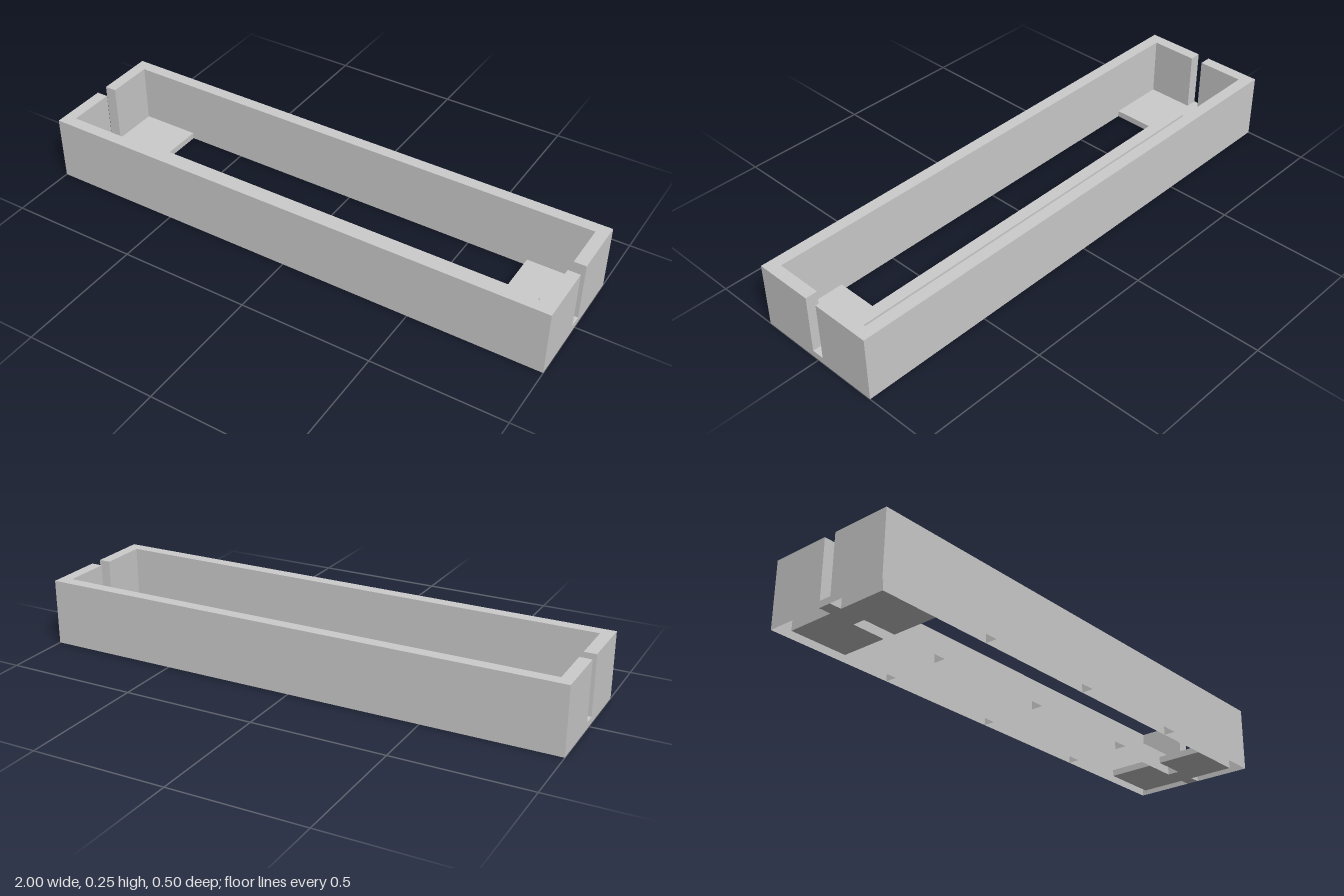
import * as THREE from 'three';

const L = 1, W = 0.25, H = 0.25;      // half length, half width, height
const T = 0.045, GAP = 0.024;         // wall thickness, half width of the end slots
const PLATE_IN = 0.73, PLATE_H = 0.025;
const BAR_END = 0.86, BAR_H = 0.05;

const solid = new THREE.MeshStandardMaterial({ color: 0xcccccc });
const thin = new THREE.MeshStandardMaterial({ color: 0xcccccc, side: THREE.DoubleSide });

// Extrudes an outline of [x, z] points up from the ground
function prism(points, height) {
  const shape = new THREE.Shape(points.map(([x, z]) => new THREE.Vector2(x, -z)));
  return new THREE.ExtrudeGeometry(shape, { depth: height, bevelEnabled: false }).rotateX(-Math.PI / 2);
}

// Removes the downward faces, leaving a hollow shell open at the bottom
function openBottom(geometry) {
  const source = geometry.index ? geometry.toNonIndexed() : geometry;
  const pos = source.attributes.position, normal = source.attributes.normal;
  const p = [], n = [];
  for (let i = 0; i < pos.count; i++) {
    if (normal.getY(i) < -0.5) continue;
    p.push(pos.getX(i), pos.getY(i), pos.getZ(i));
    n.push(normal.getX(i), normal.getY(i), normal.getZ(i));
  }
  const out = new THREE.BufferGeometry();
  out.setAttribute('position', new THREE.Float32BufferAttribute(p, 3));
  out.setAttribute('normal', new THREE.Float32BufferAttribute(n, 3));
  return out;
}

function add(parent, name, geometry, material) {
  const mesh = new THREE.Mesh(geometry, material);
  mesh.name = name;
  parent.add(mesh);
  return mesh;
}

// Thin partitions inside a hollow part, at the quarter points of the length
function addDividers(parent, width, height, z) {
  for (const x of [-0.5, 0, 0.5]) {
    const divider = add(parent, 'divider', new THREE.PlaneGeometry(width, height), thin);
    divider.rotation.y = Math.PI / 2;
    divider.position.set(x, height / 2, z);
  }
}

export function createModel() {
  const model = new THREE.Group();
  model.name = 'slottedTray';

  // Two C-shaped hollow walls, front and back
  const wallOutline = [
    [-L, W], [L, W], [L, GAP], [L - T, GAP], [L - T, W - T],
    [-L + T, W - T], [-L + T, GAP], [-L, GAP],
  ];
  for (const side of ['front', 'back']) {
    const wall = new THREE.Group();
    wall.name = side + 'Wall';
    add(wall, 'wallShell', openBottom(prism(wallOutline, H)), thin);
    addDividers(wall, T, H, W - T / 2);
    if (side === 'back') wall.rotation.y = Math.PI;
    model.add(wall);
  }

  // Floor plates: a tongue fills the end slot, a notch takes the centre bar
  const plateOutline = [
    [PLATE_IN, W - T], [L - T, W - T], [L - T, GAP], [L, GAP],
    [L, -GAP], [L - T, -GAP], [L - T, -W + T], [PLATE_IN, -W + T],
    [PLATE_IN, -GAP], [BAR_END, -GAP], [BAR_END, GAP], [PLATE_IN, GAP],
  ];
  for (const side of ['left', 'right']) {
    const plate = add(model, side + 'FloorPlate', prism(plateOutline, PLATE_H), solid);
    if (side === 'right') plate.rotation.y = Math.PI;
  }

  // Hollow centre bar joining the plates
  const bar = new THREE.Group();
  bar.name = 'centreBar';
  const barBox = new THREE.BoxGeometry(2 * BAR_END, BAR_H, 2 * GAP).translate(0, BAR_H / 2, 0);
  add(bar, 'barShell', openBottom(barBox), thin);
  addDividers(bar, 2 * GAP, BAR_H, 0);
  model.add(bar);

  return model;
}
